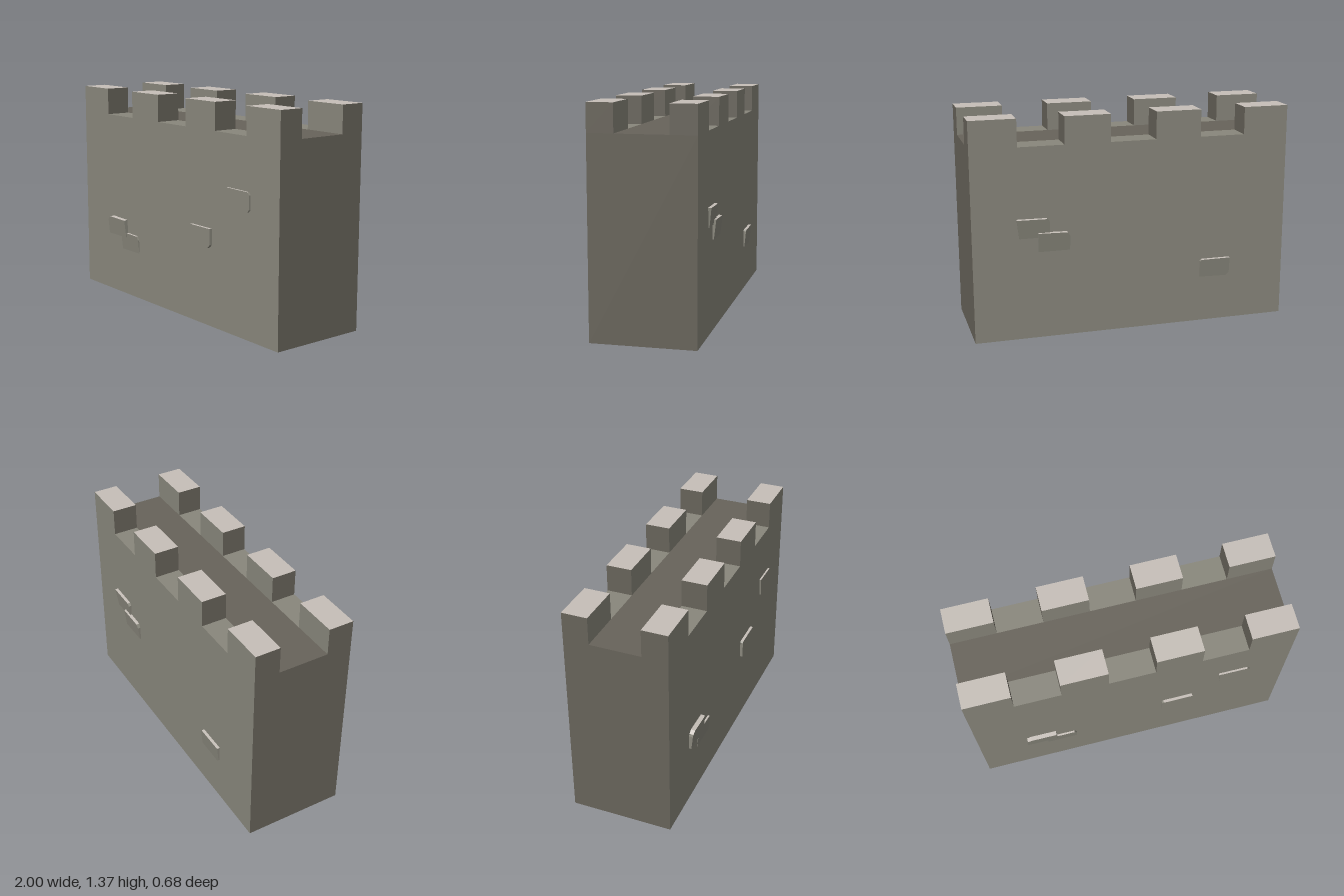
import * as THREE from 'three';

const make = (name, color) => {
  const m = new THREE.MeshStandardMaterial({ color, side: THREE.DoubleSide });
  m.name = name;
  return m;
};

export function createModel() {
  const stone = make('grey stone', 0x89877c);
  const shade = make('dark stone', 0x67635a);
  const cap = make('pale stone', 0xc6bfb8);
  const root = new THREE.Group();

  const FRONT = 0.313, BACK = -0.319, TOP = 1.2, PEAK = 1.37, IN_F = 0.155, IN_B = -0.161;
  const W = 2 / 7; // width of one merlon or gap

  const add = (name, geometry, material, x, y, z, rx = 0, ry = 0) => {
    const mesh = new THREE.Mesh(geometry, material);
    mesh.name = name;
    mesh.position.set(x, y, z);
    mesh.rotation.set(rx, ry, 0);
    root.add(mesh);
    return mesh;
  };

  // Hollow wall shell, open underneath
  const midZ = (FRONT + BACK) / 2, depth = FRONT - BACK, H = Math.PI / 2;
  add('frontWall', new THREE.PlaneGeometry(2, TOP), stone, 0, TOP / 2, FRONT);
  add('backWall', new THREE.PlaneGeometry(2, TOP), stone, 0, TOP / 2, BACK, 0, Math.PI);
  add('leftEnd', new THREE.PlaneGeometry(depth, TOP), shade, 1, TOP / 2, midZ, 0, H);
  add('rightEnd', new THREE.PlaneGeometry(depth, TOP), shade, -1, TOP / 2, midZ, 0, -H);
  add('walkway', new THREE.PlaneGeometry(2, IN_F - IN_B), shade, 0, TOP, (IN_F + IN_B) / 2, -H);

  // Battlements: merlons and gap floors alternate along both edges
  for (const [a, b] of [[IN_F, FRONT], [BACK, IN_B]]) {
    for (let i = 0; i < 7; i++) {
      const x = -1 + W * (i + 0.5), z = (a + b) / 2;
      if (i % 2) {
        add('gapFloor', new THREE.PlaneGeometry(W, b - a), stone, x, TOP, z, -H);
      } else {
        add('merlon', new THREE.BoxGeometry(W, PEAK - TOP, b - a),
          [shade, shade, cap, stone, stone, stone], x, (TOP + PEAK) / 2, z);
      }
    }
  }

  // Raised stone: extruded outline whose upward faces are pale
  const raisedStone = (points, x, y, z, tilt, ry) => {
    const shape = new THREE.Shape(points.map(([u, v]) => new THREE.Vector2(u, v)));
    const g = new THREE.ExtrudeGeometry(shape, { depth: 0.04, bevelEnabled: false });
    g.translate(0, 0, -0.04);
    g.clearGroups();
    const n = g.attributes.normal;
    for (let i = 0; i < n.count; i += 3) g.addGroup(i, 3, n.getY(i) > 0.8 ? 1 : 0);
    const mesh = add('raisedStone', g, [stone, cap], x, y, z);
    mesh.rotation.order = 'YXZ';
    mesh.rotation.set(tilt, ry, 0);
  };

  // Outlines, relative to the stone's centre
  const cutTopLeft = [[-0.1, -0.06], [0.1, -0.06], [0.095, 0.056], [-0.07, 0.06], [-0.095, 0.045], [-0.1, 0.03]];
  const cutTopRight = [[-0.1, -0.06], [0.095, -0.06], [0.095, 0.03], [0.08, 0.055], [-0.1, 0.06]];
  const cutLowRight = [[-0.1, -0.055], [0.08, -0.06], [0.1, -0.04], [0.1, 0.06], [-0.09, 0.06], [-0.1, 0.05]];
  const wedge = [[-0.085, -0.06], [0.085, -0.06], [0.1, -0.045], [0.1, 0.04], [0.085, 0.057], [-0.1, 0.06]];

  raisedStone(cutTopLeft, -0.6, 0.453, 0.334, 0.1, 0);
  raisedStone(cutTopRight, -0.465, 0.365, 0.319, 0.1, 0);
  raisedStone(cutLowRight, 0.3, 0.55, 0.331, 0, 0);
  raisedStone(wedge, 0.655, 0.825, 0.325, 0, 0);
  raisedStone(wedge, 0.63, 0.7, -0.331, 0.12, Math.PI);
  raisedStone(cutTopRight, 0.5, 0.61, -0.333, 0.12, Math.PI);
  raisedStone(cutLowRight, -0.535, 0.35, -0.331, 0.1, Math.PI);

  return root;
}
